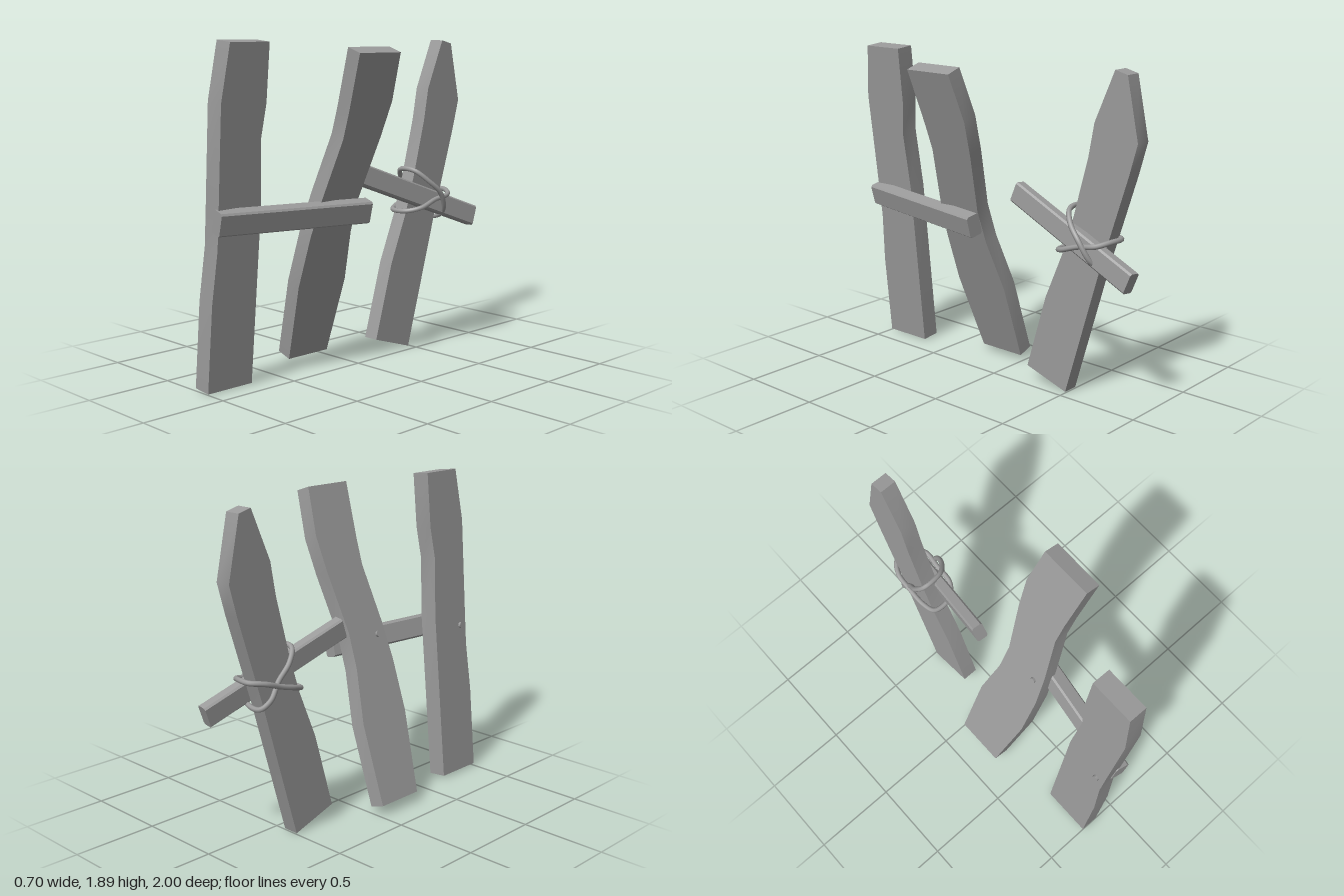
import * as THREE from 'three';
import { toCreasedNormals } from 'three/addons/utils/BufferGeometryUtils.js';

const material = new THREE.MeshStandardMaterial({ color: 0x9a9a9a });

function part(name, geometry) {
  const mesh = new THREE.Mesh(geometry, material);
  mesh.name = name;
  return mesh;
}

// Extrude an outline, centred along z, with soft bends and sharp corners
function extrude(points, depth) {
  const shape = new THREE.Shape(points.map(([x, y]) => new THREE.Vector2(x, y)));
  const geo = new THREE.ExtrudeGeometry(shape, { depth, bevelEnabled: false });
  return toCreasedNormals(geo.translate(0, 0, -depth / 2), 0.6);
}

// Plank: outline of [z, y] points, extruded along x and tilted sideways about its foot
function plank(name, outline, thickness, footX, footY, tilt) {
  const points = outline.map(([z, y]) => [-z, y / Math.cos(tilt)]);
  const mesh = part(name, extrude(points, thickness).rotateY(Math.PI / 2));
  mesh.position.set(footX, footY, 0);
  mesh.rotation.z = -tilt;
  return mesh;
}

// Rail: a bar with chamfered edges between two end centres, rolled about its length
function rail(name, from, to, thickness, height, roll) {
  const a = new THREE.Vector3(...from), b = new THREE.Vector3(...to);
  const w = thickness / 2, h = height / 2, c = 0.01;
  const section = [
    [w - c, -h], [w, c - h], [w, h - c], [w - c, h],
    [c - w, h], [-w, h - c], [-w, c - h], [c - w, -h],
  ];
  const mesh = part(name, extrude(section, a.distanceTo(b)));
  mesh.position.copy(a).add(b).multiplyScalar(0.5);
  mesh.lookAt(b);
  mesh.rotateZ(roll);
  return mesh;
}

// Rope: closed smooth loop through a few points
function rope(name, points) {
  const curve = new THREE.CatmullRomCurve3(points.map(p => new THREE.Vector3(...p)), true);
  return part(name, new THREE.TubeGeometry(curve, 80, 0.015, 8, true));
}

// Nail: small stub sticking out of a plank's back
function nail(name, x, y, z, tilt) {
  const mesh = part(name, new THREE.CylinderGeometry(0.018, 0.018, 0.025, 8));
  mesh.position.set(x, y, z);
  mesh.rotation.z = Math.PI / 2 - tilt;
  return mesh;
}

export function createModel() {
  const group = new THREE.Group();
  group.name = 'brokenFence';

  // Upright planks
  group.add(plank('frontPlank', [
    [1, 0], [1, 0.49], [0.98, 0.79], [0.985, 1.01], [1, 1.56], [0.96, 1.87],
    [0.7, 1.87], [0.7, 1.55], [0.725, 1.36], [0.7, 1.01], [0.7, 0],
  ], 0.11, -0.182, 0.01, 0.099));
  group.add(plank('middlePlank', [
    [0.31, -0.015], [0.37, 0.445], [0.37, 0.745], [0.35, 0.965], [0.3, 1.295], [0.305, 1.445],
    [0.33, 1.765], [0.02, 1.765], [-0.01, 1.495], [0.01, 1.295], [0.065, 0.945], [0.06, 0.745],
    [0.01, 0.445], [0.01, -0.015],
  ], 0.095, -0.3, 0.065, 0.33));
  group.add(plank('backPlank', [
    [-0.21, 0.09], [-0.34, 0.54], [-0.46, 0.83], [-0.53, 1.05], [-0.62, 1.39], [-0.655, 1.58],
    [-0.78, 1.87], [-0.86, 1.85], [-0.935, 1.5], [-0.885, 1.32], [-0.79, 1.02], [-0.72, 0.8],
    [-0.49, 0],
  ], 0.095, -0.106, 0, 0));

  // Cross rails
  group.add(rail('frontRail', [0.117, 0.925, 0.045], [-0.033, 0.943, 0.995], 0.085, 0.13, -0.25));
  group.add(rail('backRail', [0.024, 0.773, -0.975], [-0.105, 1.108, -0.087], 0.068, 0.125, 0.1));

  // Rope lashing the back rail to its plank
  group.add(rope('steepRope', [
    [0.055, 0.95, -0.65], [0.025, 1.03, -0.57], [-0.04, 1.09, -0.515], [-0.15, 1.09, -0.51],
    [-0.185, 1.02, -0.56], [-0.175, 0.93, -0.63], [-0.18, 0.84, -0.69], [-0.14, 0.79, -0.73],
    [-0.05, 0.79, -0.73], [0.025, 0.84, -0.71],
  ]));
  group.add(rope('shallowRope', [
    [0.03, 0.91, -0.63], [0.025, 0.87, -0.51], [-0.04, 0.85, -0.445], [-0.15, 0.85, -0.445],
    [-0.18, 0.87, -0.51], [-0.185, 0.905, -0.63], [-0.18, 0.94, -0.73], [-0.13, 0.95, -0.8],
    [-0.04, 0.95, -0.795], [0.03, 0.93, -0.74],
  ]));

  // Nails
  group.add(nail('frontNail', -0.148, 0.93, 0.93, 0.099));
  group.add(nail('middleNail', -0.038, 0.98, 0.29, 0.33));
  return group;
}
